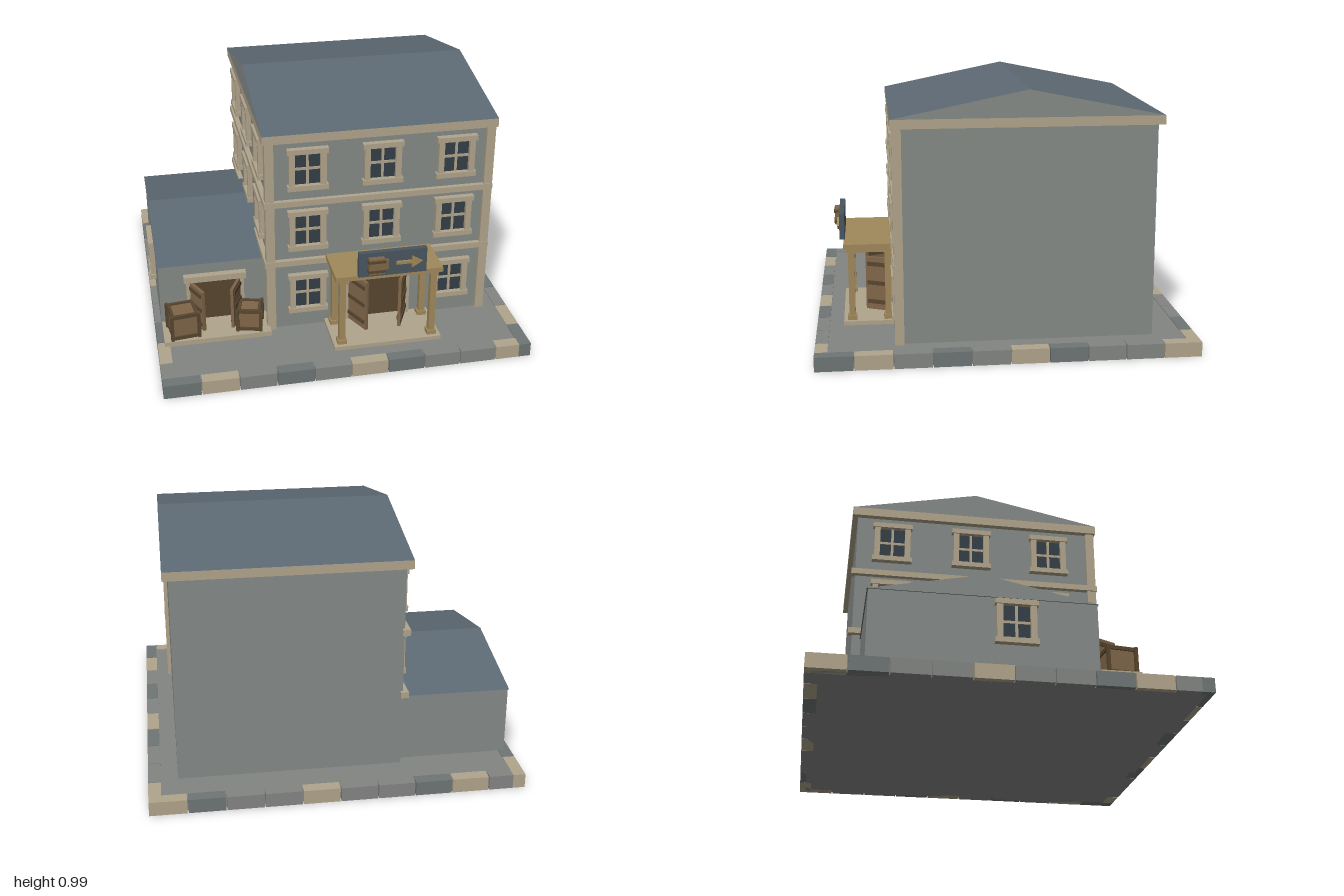
import * as THREE from 'three';

const mat = (name, color, extra = {}) => Object.assign(new THREE.MeshStandardMaterial({ color, ...extra }), { name });

export function createModel() {
  const wall = mat('wall grey', 0x858a87);
  const ground = mat('paving grey', 0x838583);
  const slateStone = mat('dark kerb stone', 0x6e7675);
  const roofMat = mat('slate roof', 0x5d6973);
  const trim = mat('beige trim', 0xb0a48b);
  const gold = mat('yellow wood', 0xa0885a);
  const wood = mat('brown wood', 0x806649);
  const darkWood = mat('dark wood', 0x58462f);
  const glass = mat('window glass', 0x353f47);
  const signMat = mat('sign board', 0x485661);

  const model = new THREE.Group();
  model.name = 'tavern';
  const house = new THREE.Group();
  house.name = 'building';
  house.rotation.y = Math.PI / 4; // the square plot stands on its corner
  model.add(house);

  const group = (parent, name, x = 0, y = 0, z = 0, ry = 0) => {
    const g = new THREE.Group();
    g.name = name;
    g.position.set(x, y, z);
    g.rotation.y = ry;
    parent.add(g);
    return g;
  };
  // box given by its extents on each axis
  const box = (parent, name, m, [x0, x1], [y0, y1], [z0, z1]) => {
    const b = new THREE.Mesh(new THREE.BoxGeometry(x1 - x0, y1 - y0, z1 - z0), m);
    b.name = name;
    b.position.set((x0 + x1) / 2, (y0 + y1) / 2, (z0 + z1) / 2);
    parent.add(b);
    return b;
  };

  // Paved plot with kerb stones on four sides
  const H = Math.SQRT1_2, G = 0.052, K = 0.047;
  box(house, 'paving', ground, [-H + K / 2, H - K / 2], [0, G], [-H + K / 2, H - K / 2]);
  const sides = [
    { ry: 0, tan: 1 }, { ry: Math.PI / 2, tan: 1 }, { ry: Math.PI, tan: 0 }, { ry: -Math.PI / 2, tan: 0 },
  ];
  for (const { ry, tan } of sides) {
    const kerb = group(house, 'kerb', 0, 0, 0, ry);
    const L = 2 * H / 10;
    for (let i = 0; i < 10; i++) {
      const m = i % 4 === tan ? trim : (i + tan) % 3 === 1 ? slateStone : ground;
      const start = -H + i * L + (i === 0 ? 0 : 0.002);
      const end = -H + (i + 1) * L - (i === 9 ? K : 0.002);
      box(kerb, 'kerbStone', m, [start, end], [0, 0.055], [H - K, H]);
    }
  }

  // Gabled roof: wall-coloured ends, slate slopes
  const gable = (name, [x0, x1], y, h, [z0, z1]) => {
    const w = (z1 - z0) / 2;
    const s = new THREE.Shape([new THREE.Vector2(-w, 0), new THREE.Vector2(w, 0), new THREE.Vector2(0, h)]);
    const g = new THREE.ExtrudeGeometry(s, { depth: x1 - x0, bevelEnabled: false });
    g.rotateY(Math.PI / 2);
    const r = new THREE.Mesh(g, [wall, roofMat]);
    r.name = name;
    r.position.set(x0, y, (z0 + z1) / 2);
    house.add(r);
  };

  // Main block and annex
  box(house, 'mainWalls', wall, [-0.26, 0.595], [G, 0.86], [-0.545, 0.4]);
  box(house, 'eaveTrim', trim, [-0.283, 0.617], [0.852, 0.886], [-0.566, 0.422]);
  gable('mainRoof', [-0.283, 0.617], 0.886, 0.1, [-0.566, 0.422]);
  box(house, 'annexWalls', wall, [-0.682, -0.26], [G, 0.32], [-0.51, 0.305]);
  gable('annexRoof', [-0.686, -0.26], 0.32, 0.085, [-0.514, 0.309]);

  // Floor bands on the two street facades
  for (const y of [0.335, 0.59]) {
    box(house, 'frontBand', trim, [-0.28, 0.612], [y, y + 0.023], [0.39, 0.419]);
    box(house, 'sideBand', trim, [-0.28, -0.25], [y, y + 0.023], [-0.56, 0.419]);
  }
  for (const x of [-0.274, 0.577])
    box(house, 'cornerPost', trim, [x, x + 0.034], [G, 0.855], [0.382, 0.416]);

  // Four-pane window facing +z
  const windowAt = (x, y, z, ry = 0) => {
    const w = group(house, 'window', x, y, z, ry);
    box(w, 'glass', glass, [-0.055, 0.055], [-0.07, 0.07], [-0.005, 0.004]);
    for (const s of [-1, 1]) {
      const a = s * 0.06;
      box(w, 'frameSide', trim, [a - 0.011, a + 0.011], [-0.075, 0.075], [-0.005, 0.02]);
      box(w, 'frameRail', trim, [-0.078, 0.078], [s * 0.074 - 0.01, s * 0.074 + 0.01], [-0.005, 0.024]);
    }
    box(w, 'mullion', trim, [-0.005, 0.005], [-0.07, 0.07], [0, 0.008]);
    box(w, 'crossbar', trim, [-0.055, 0.055], [-0.005, 0.005], [0, 0.008]);
  };
  for (const y of [0.74, 0.485]) {
    for (const i of [-1, 0, 1]) {
      windowAt(0.175 + i * 0.287, y, 0.4);
      windowAt(-0.26, y, -0.09 + i * 0.315, -Math.PI / 2);
    }
  }
  for (const i of [-1, 1]) windowAt(0.175 + i * 0.287, 0.208, 0.4);
  windowAt(-0.682, 0.225, 0.01, -Math.PI / 2);

  // Open double door facing +z, base at its origin
  const doorway = (x, y, z, w, h) => {
    const d = group(house, 'doorway', x, y, z);
    box(d, 'doorOpening', darkWood, [-w / 2, w / 2], [0, h], [-0.005, 0.004]);
    box(d, 'lintel', trim, [-w / 2 - 0.027, w / 2 + 0.027], [h - 0.005, h + 0.02], [-0.005, 0.028]);
    for (const s of [-1, 1]) {
      const a = s * (w / 2 + 0.008);
      box(d, 'doorJamb', trim, [a - 0.01, a + 0.01], [0, h], [-0.005, 0.02]);
      const leaf = group(d, 'doorLeaf', s * w / 2, 0, 0.014, s * 1.13);
      const span = (p, q) => (s < 0 ? [p, q] : [-q, -p]);
      box(leaf, 'leafPanel', wood, span(0, w / 2), [0.004, h - 0.008], [-0.006, 0.006]);
      for (const f of [0.16, 0.5, 0.84])
        box(leaf, 'leafBand', darkWood, span(0.004, w / 2 - 0.008), [f * h - 0.008, f * h + 0.008], [-0.01, 0.01]);
    }
  };

  // Main entrance porch
  const porch = group(house, 'porch');
  box(porch, 'porchStep', trim, [-0.045, 0.375], [G, 0.068], [0.4, 0.605]);
  box(porch, 'porchRoof', gold, [-0.043, 0.372], [0.353, 0.372], [0.415, 0.6]);
  for (const x of [-0.012, 0.342]) {
    box(porch, 'porchBeam', gold, [x - 0.009, x + 0.009], [0.335, 0.355], [0.42, 0.59]);
    for (const z of [0.433, 0.572]) {
      const sq = (name, r, y0, y1) => box(porch, name, gold, [x - r, x + r], [y0, y1], [z - r, z + r]);
      sq('porchPost', 0.012, 0.06, 0.353);
      sq('postBase', 0.018, 0.06, 0.085);
      sq('postCap', 0.017, 0.335, 0.354);
    }
  }
  doorway(0.165, 0.068, 0.4, 0.225, 0.225);

  // Hanging sign with a cask and an arrow
  const sign = group(house, 'sign', 0.17, 0.424, 0.605);
  box(sign, 'signBoard', signMat, [-0.13, 0.13], [-0.05, 0.05], [-0.01, 0.01]);
  box(sign, 'cask', wood, [-0.095, -0.035], [-0.032, 0.032], [0.005, 0.03]);
  for (const y of [-0.02, 0.02])
    box(sign, 'caskHoop', darkWood, [-0.098, -0.032], [y - 0.005, y + 0.005], [0.005, 0.033]);
  box(sign, 'caskHandle', wood, [-0.035, -0.018], [-0.02, 0.02], [0.008, 0.02]);
  const arrow = new THREE.Shape();
  [[0, -0.006], [0.06, -0.006], [0.06, -0.024], [0.1, 0], [0.06, 0.024], [0.06, 0.006], [0, 0.006]]
    .forEach(([x, y], i) => (i ? arrow.lineTo(x, y) : arrow.moveTo(x, y)));
  const arrowMesh = new THREE.Mesh(new THREE.ExtrudeGeometry(arrow, { depth: 0.01, bevelEnabled: false }), gold);
  arrowMesh.name = 'arrow';
  arrowMesh.position.set(0.012, 0, 0.008);
  sign.add(arrowMesh);

  // Annex loading step, door and crates
  box(house, 'annexStep', trim, [-0.68, -0.265], [G, 0.072], [0.3, 0.455]);
  doorway(-0.465, 0.072, 0.305, 0.19, 0.185);
  const crate = (x, z, s, h, ry) => {
    const c = group(house, 'crate', x, 0.072, z, ry);
    const r = s / 2, e = 0.006;
    box(c, 'crateBody', wood, [-r + e, r - e], [0, h - e], [-r + e, r - e]);
    for (const y of [0, h - 0.014]) {
      for (const k of [-1, 1]) {
        const a = k * (r - e);
        box(c, 'crateRail', darkWood, [-r, r], [y, y + 0.014], [a - e, a + e]);
        box(c, 'crateRail', darkWood, [a - e, a + e], [y, y + 0.014], [-r, r]);
      }
    }
    for (const i of [-1, 1]) for (const k of [-1, 1])
      box(c, 'cratePost', darkWood, [i * r - e, i * r + e], [0, h], [k * r - e, k * r + e]);
  };
  crate(-0.602, 0.388, 0.105, 0.106, 0.12);
  crate(-0.34, 0.39, 0.09, 0.092, -0.22);

  return model;
}
